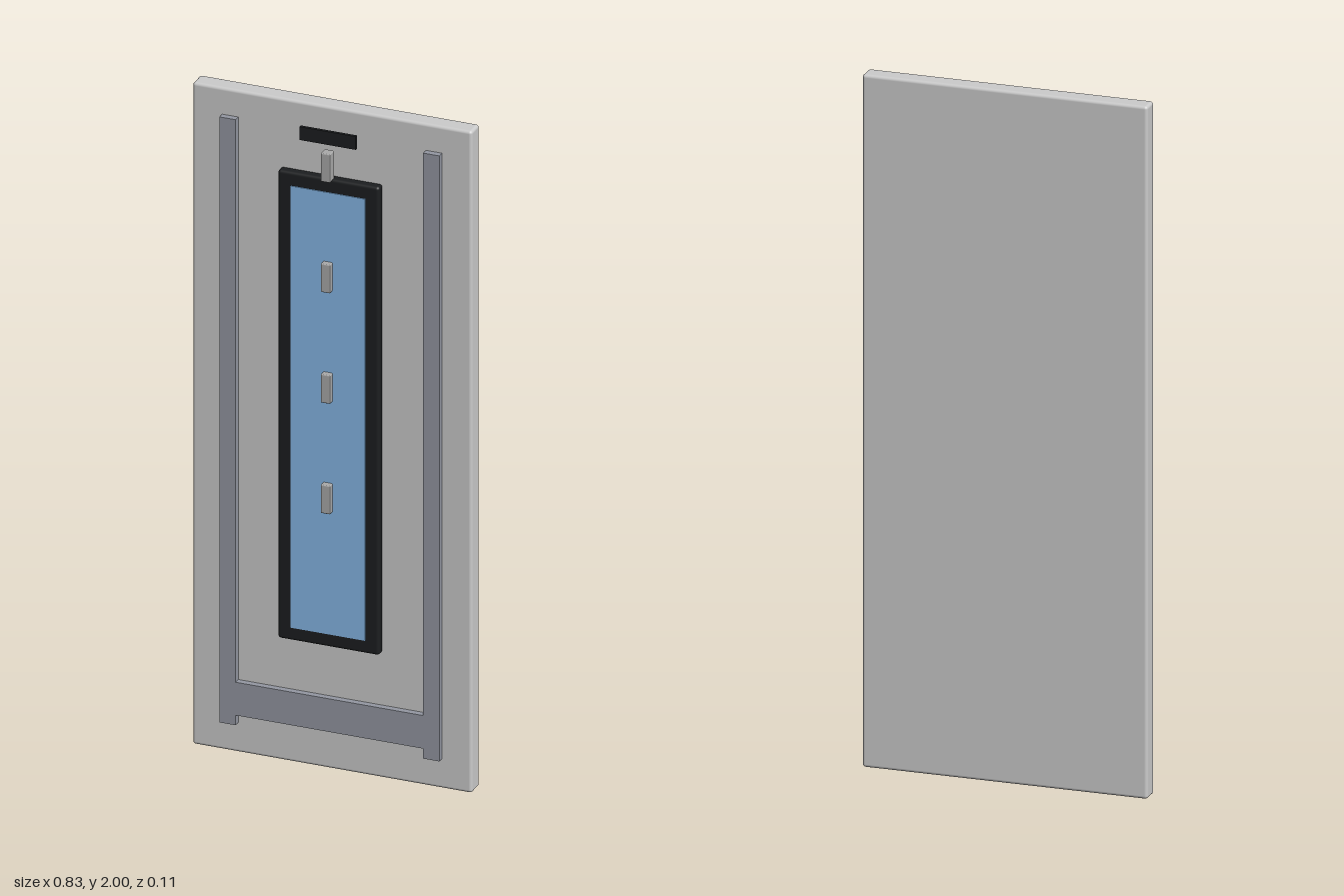
import * as THREE from 'three';
import { RoundedBoxGeometry } from 'three/addons/geometries/RoundedBoxGeometry.js';

const material = (color) => new THREE.MeshStandardMaterial({ color });

export function createModel() {
  const model = new THREE.Group();
  const grey = material(0xcccccc);
  const railGrey = material(0x9498a2);
  const pegGrey = material(0xaaaaaa);
  const black = material(0x1c1e20);
  const blue = material(0x86b8e8);

  // Adds a box given by its limits on each axis, rounded if a radius is given
  function box(name, mat, [x0, x1], [y0, y1], [z0, z1], radius = 0) {
    const size = [x1 - x0, y1 - y0, z1 - z0];
    const geometry = radius
      ? new RoundedBoxGeometry(...size, 3, radius)
      : new THREE.BoxGeometry(...size);
    const mesh = new THREE.Mesh(geometry, mat);
    mesh.position.set((x0 + x1) / 2, (y0 + y1) / 2, (z0 + z1) / 2);
    mesh.name = name;
    model.add(mesh);
  }

  // Back slab with softened edges
  box('panel', grey, [-0.413, 0.413], [0, 2], [-0.053, 0.003], 0.009);

  // Raised side rails joined by a crossbar near the bottom
  box('rightRail', railGrey, [-0.325, -0.277], [0.09, 1.92], [0, 0.022]);
  box('leftRail', railGrey, [0.277, 0.325], [0.09, 1.92], [0, 0.022]);
  box('crossbar', railGrey, [-0.277, 0.277], [0.12, 0.22], [0, 0.022]);

  // Dark window frame with the glass slightly proud of it
  box('windowFrame', black, [-0.15, 0.15], [0.38, 1.795], [0, 0.03], 0.009);
  box('windowGlass', blue, [-0.11, 0.11], [0.42, 1.755], [0.015, 0.033]);

  // Small pegs up the centre line
  for (let i = 0; i < 4; i++) {
    const y = 0.835 + i * 0.334;
    box('peg', pegGrey, [-0.014, 0.014], [y - 0.043, y + 0.043], [0.022, 0.052], 0.003);
  }

  // Thin plate above the window
  box('topPlate', black, [-0.083, 0.083], [1.9, 1.94], [0.026, 0.035]);

  return model;
}
